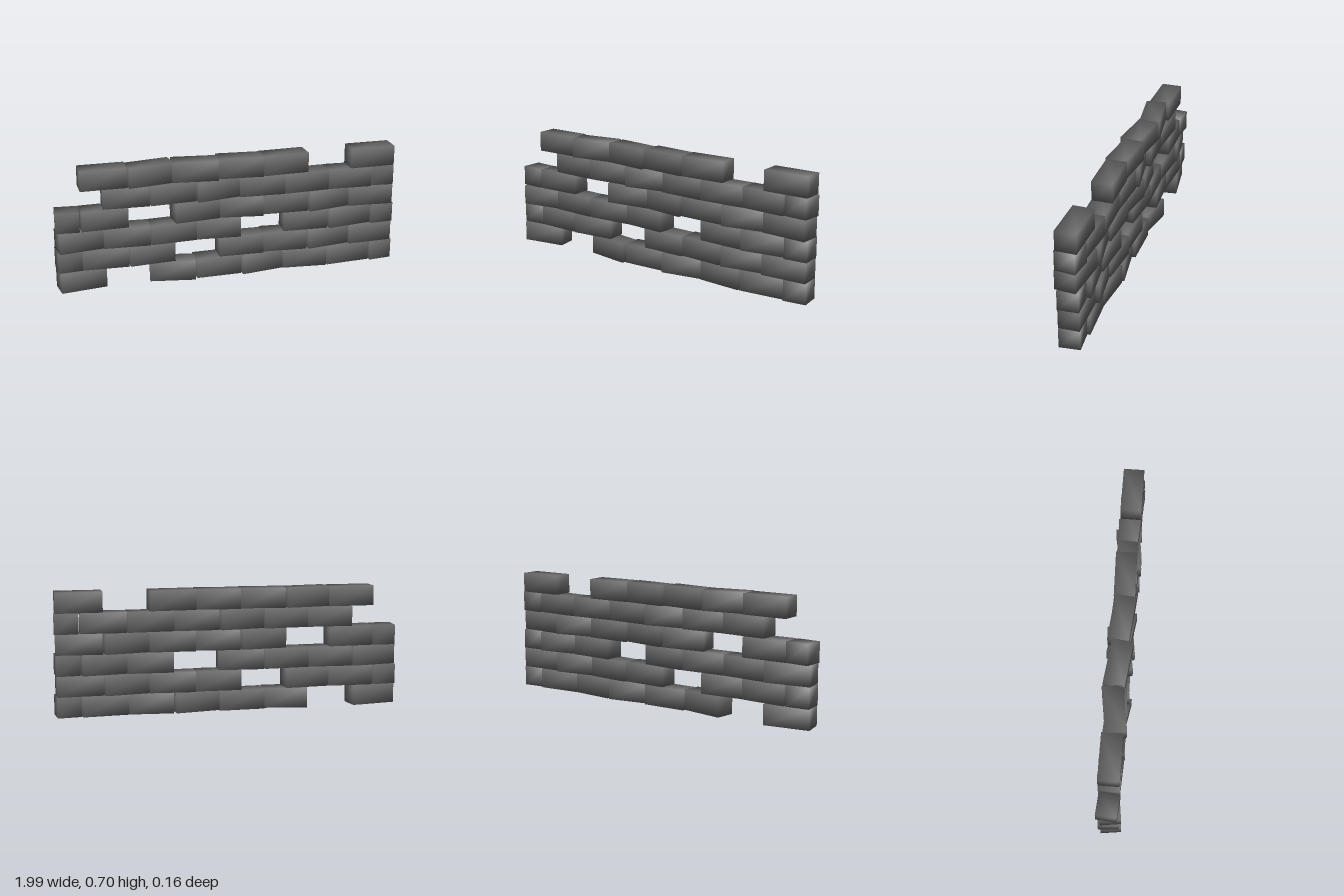
import * as THREE from 'three';
import { mergeVertices } from 'three/addons/utils/BufferGeometryUtils.js';

const PITCH = 0.262, COURSE = 0.117, HEIGHT = 0.115, DEPTH = 0.118;

// Box whose corners share one averaged normal, for soft shading
function softBox(width) {
  const box = new THREE.BoxGeometry(width, HEIGHT, DEPTH);
  box.deleteAttribute('normal');
  box.deleteAttribute('uv');
  const soft = mergeVertices(box);
  soft.computeVertexNormals();
  return soft;
}

// Twist of each full brick per course, from -x to +x; null leaves a hole
const courses = [
  [0.14, null, -0.17, 0.02, 0.15, -0.09, 0.07],
  [-0.04, 0.07, null, -0.03, -0.08, 0.14, 0.03],
  [0.14, -0.06, 0.05, -0.08, null, -0.05, 0.14],
  [0.03, null, 0.1, -0.15, -0.04, 0.18, -0.08],
  [null, -0.05, 0.06, 0.17, -0.05, 0.04, -0.06],
  [0, 0.15, -0.12, -0.09, 0.03, null, 0],
];
// Twist of the half brick closing each course; null where it is missing
const halves = [0.1, 0.08, 0.06, -0.08, -0.1, null];

export function createModel() {
  const wall = new THREE.Group();
  wall.name = 'brickWall';
  const stone = new THREE.MeshStandardMaterial({ color: 0x666666 });
  stone.name = 'darkGrey';
  const full = softBox(0.262);
  const half = softBox(0.134);

  courses.forEach((twists, row) => {
    const course = new THREE.Group();
    course.name = `course${row + 1}`;
    course.position.y = row * COURSE + HEIGHT / 2;
    wall.add(course);

    const lay = (name, geometry, x, twist) => {
      if (twist === null) return;
      const brick = new THREE.Mesh(geometry, stone);
      brick.name = name;
      brick.position.x = x;
      brick.rotation.y = twist;
      course.add(brick);
    };

    // Running bond: odd courses shift by half a brick
    const odd = row % 2;
    const start = odd ? -0.718 : -0.854;
    twists.forEach((twist, i) => lay('brick', full, start + i * PITCH, twist));
    lay('halfBrick', half, odd ? -0.922 : 0.922, halves[row]);
  });
  return wall;
}
